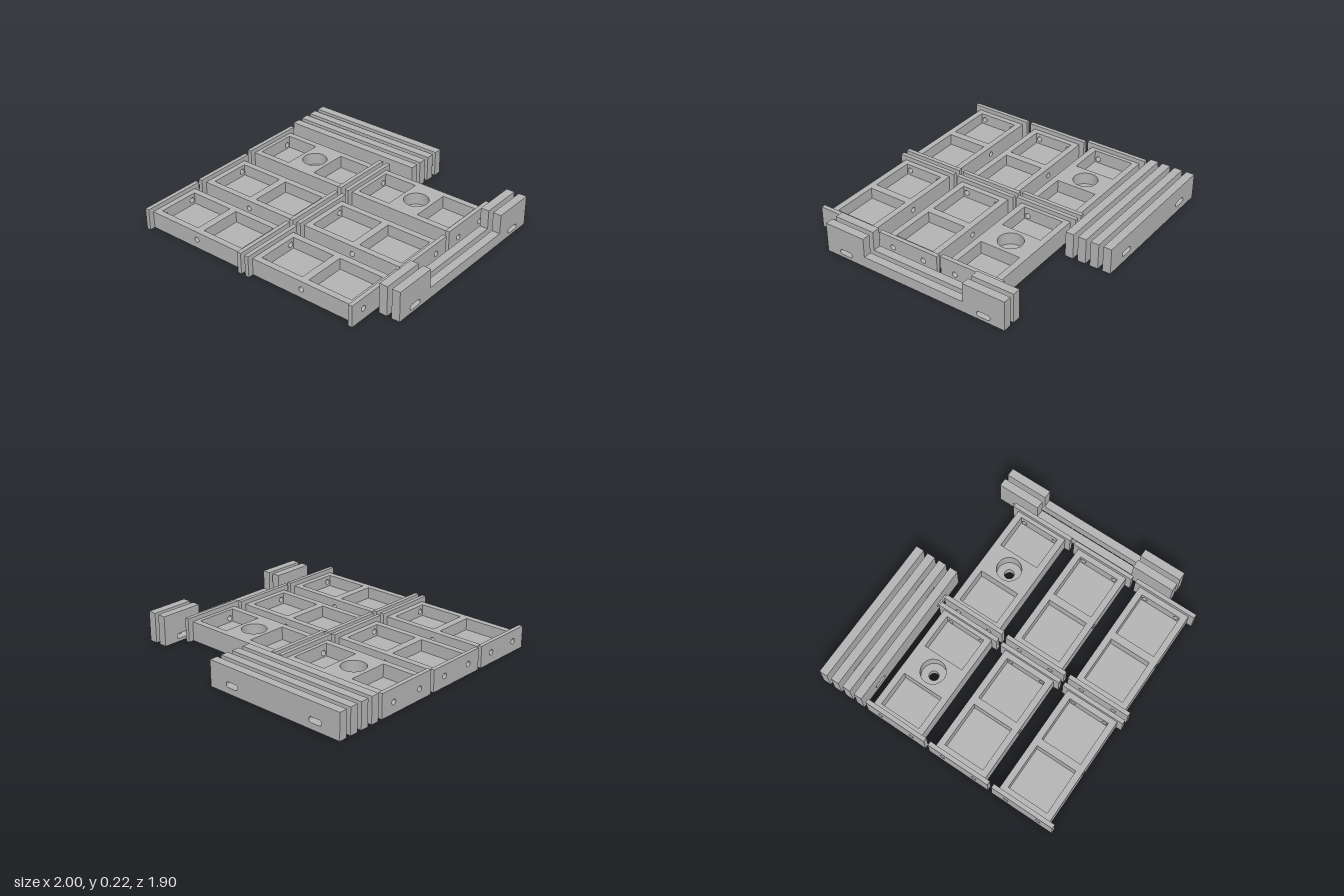
import * as THREE from 'three';

const grey = new THREE.MeshStandardMaterial({ color: 0xb3b3b3 });
grey.name = 'plain grey';

function add(parent, name, geometry, x = 0, y = 0, z = 0) {
  const mesh = new THREE.Mesh(geometry, grey);
  mesh.name = name;
  mesh.position.set(x, y, z);
  parent.add(mesh);
  return mesh;
}

const polygon = (points) => new THREE.Shape(points.map(([x, y]) => new THREE.Vector2(x, y)));
const rect = (x0, y0, x1, y1) => polygon([[x0, y0], [x1, y0], [x1, y1], [x0, y1]]);
const round = (x, y, r) => new THREE.Path().absarc(x, y, r, 0, Math.PI * 2, true);

// rounded slot of the given overall length
function slot(x, y, length, r) {
  const d = length / 2 - r;
  const p = new THREE.Path();
  p.absarc(x + d, y, r, -Math.PI / 2, Math.PI / 2, false);
  p.absarc(x - d, y, r, Math.PI / 2, Math.PI * 1.5, false);
  p.closePath();
  return p;
}

// extrusion centred on the x or z axis, or rising from zero on the y axis
function extrude(shape, holes, depth, axis) {
  shape.holes.push(...holes);
  const g = new THREE.ExtrudeGeometry(shape, { depth, bevelEnabled: false, curveSegments: 16 });
  if (axis !== 'y') g.translate(0, 0, -depth / 2);
  if (axis === 'x') g.rotateY(Math.PI / 2);
  if (axis === 'y') g.rotateX(-Math.PI / 2);
  return g;
}

const HALF_X = 0.412, HALF_Z = 0.201, POCKET_Z = 0.155, FLANGE = 0.031;

// one tray: end flanges, end walls, two pockets and a middle rib or bored hub
function makeTray({ height, flangeHeight, pocketIn, pocketOut, floor, bored }) {
  const tray = new THREE.Group();
  tray.name = bored ? 'boredTray' : 'tray';
  const boltHoles = () => [-0.128, 0.128].map((z) => round(z, 0.08, 0.02));
  const wall = HALF_X - pocketOut;
  const pocket = pocketOut - pocketIn;
  const rim = HALF_Z - POCKET_Z;

  for (const s of [-1, 1]) {
    add(tray, 'endFlange', extrude(rect(-0.242, 0, 0.242, flangeHeight), boltHoles(), FLANGE, 'x'),
      s * (HALF_X + FLANGE / 2));
    add(tray, 'endWall', extrude(rect(-HALF_Z, 0, HALF_Z, height), boltHoles(), wall, 'x'),
      s * (HALF_X - wall / 2));
    const cx = s * (pocketIn + pocketOut) / 2;
    add(tray, 'pocketFloor', new THREE.BoxGeometry(pocket, floor, HALF_Z * 2), cx, floor / 2, 0);
    for (const t of [-1, 1]) {
      add(tray, 'pocketRim', new THREE.BoxGeometry(pocket, height - floor, rim),
        cx, (height + floor) / 2, t * (HALF_Z - rim / 2));
    }
  }

  if (bored) {
    // hub with a through hole and a wide counterbore
    const base = 0.055;
    const outline = () => rect(-pocketIn, -HALF_Z, pocketIn, HALF_Z);
    add(tray, 'hubBase', extrude(outline(), [round(0, 0, 0.035)], base, 'y'));
    add(tray, 'hubTop', extrude(outline(), [round(0, 0, 0.09)], height - base, 'y'), 0, base, 0);
  } else {
    // rib with a bolt tunnel
    add(tray, 'middleRib', extrude(rect(-pocketIn, 0, pocketIn, height),
      [round(0, 0.065, 0.019)], HALF_Z * 2, 'z'));
  }
  return tray;
}

export function createModel() {
  const model = new THREE.Group();
  model.name = 'trayKit';

  // six trays in two columns and three rows
  const plain = { height: 0.127, flangeHeight: 0.16, pocketIn: 0.028, pocketOut: 0.371, floor: 0.042 };
  const bored = { height: 0.145, flangeHeight: 0.177, pocketIn: 0.12, pocketOut: 0.383, floor: 0.05, bored: true };
  for (const x of [-0.557, 0.363]) {
    [[-0.326, bored], [0.19, plain], [0.706, plain]].forEach(([z, spec]) => {
      const tray = makeTray(spec);
      tray.position.set(x, 0, z);
      model.add(tray);
    });
  }

  // four slotted bars behind the trays
  for (let i = 0; i < 4; i++) {
    add(model, 'slottedBar', extrude(rect(-0.5625, 0, 0.5625, 0.193),
      [-0.363, 0.363].map((x) => slot(x, 0.065, 0.105, 0.02)), 0.062, 'z'),
    -0.4375, 0, -0.924 + i * 0.097);
  }

  // two side rails with raised slotted ends
  for (const x of [0.872, 0.969]) {
    const profile = polygon([[-0.726, 0], [0.726, 0], [0.726, 0.223], [0.403, 0.223],
      [0.403, 0.08], [-0.403, 0.08], [-0.403, 0.223], [-0.726, 0.223]]);
    add(model, 'sideRail', extrude(profile,
      [-0.564, 0.564].map((z) => slot(z, 0.041, 0.105, 0.019)), 0.062, 'x'), x, 0, -0.003);
  }
  return model;
}
